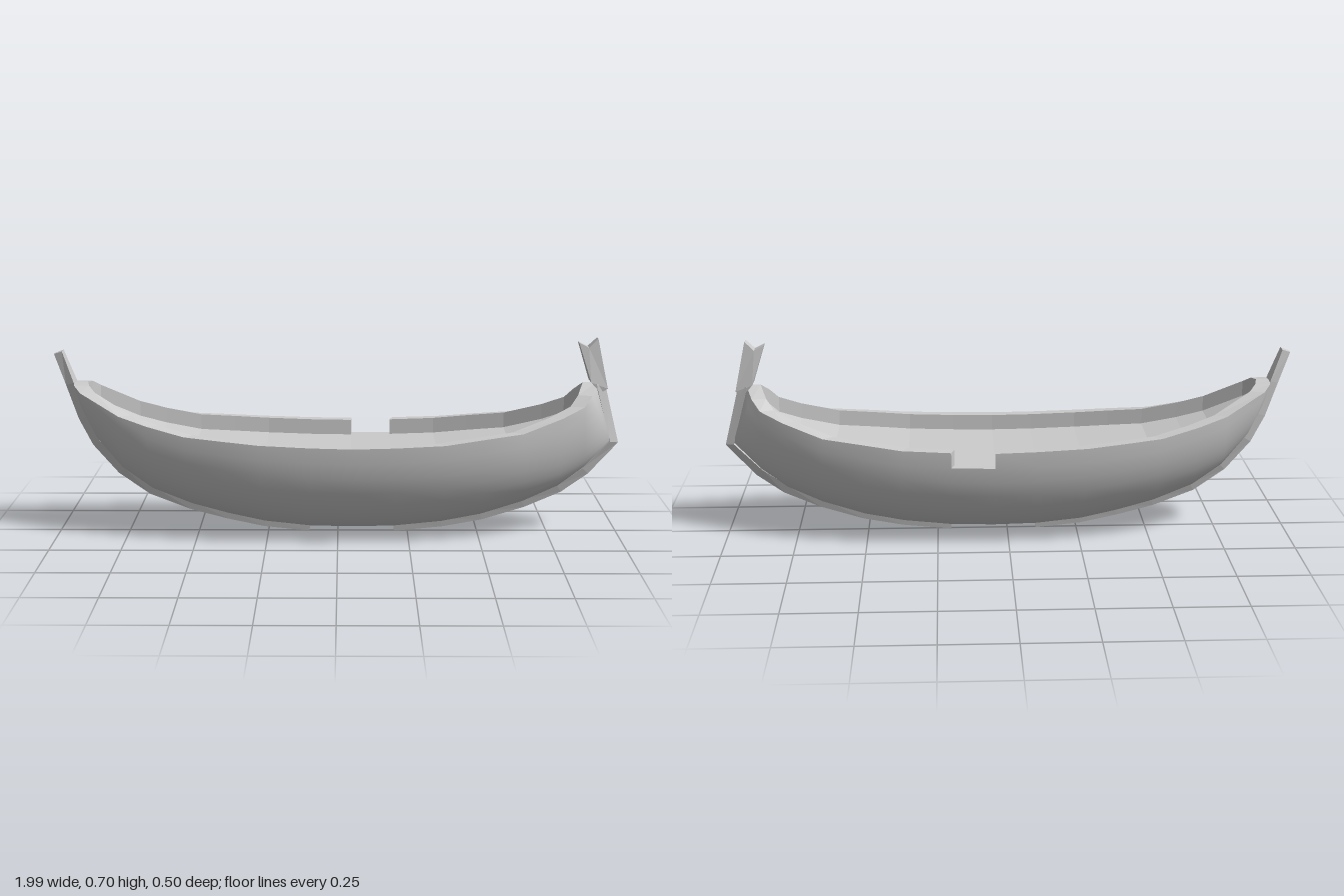
import * as THREE from 'three';

// Keel profile [x, y], stern to bow
const KEEL = [
  [-0.935, 0.545], [-0.895, 0.425], [-0.85, 0.335], [-0.765, 0.235], [-0.66, 0.16], [-0.52, 0.105],
  [-0.39, 0.07], [-0.26, 0.042], [-0.1, 0.025], [0.05, 0.022], [0.2, 0.025], [0.37, 0.042],
  [0.51, 0.068], [0.66, 0.115], [0.785, 0.17], [0.875, 0.235], [0.97, 0.335], [0.915, 0.545],
];
// Sheer line [x, y, half width], one entry for each keel point
const SHEER = [
  [-0.935, 0.545, 0], [-0.925, 0.54, 0.05], [-0.9, 0.52, 0.083], [-0.76, 0.45, 0.145],
  [-0.66, 0.42, 0.17], [-0.53, 0.39, 0.2], [-0.4, 0.38, 0.222], [-0.27, 0.37, 0.24],
  [-0.1, 0.363, 0.247], [0.05, 0.36, 0.252], [0.2, 0.363, 0.248], [0.37, 0.37, 0.24],
  [0.5, 0.385, 0.217], [0.64, 0.4, 0.19], [0.78, 0.442, 0.135], [0.86, 0.475, 0.1],
  [0.89, 0.51, 0.07], [0.915, 0.545, 0],
];
const NOTCH = 9;      // segment of the far rail that is cut away
const DEPTH = 0.055;  // deck level below the rail
const INSET = [0.945, 0.85];
const T1 = 0.163;     // section angle at deck level

const mat = (flat, double) => new THREE.MeshStandardMaterial({
  color: 0xcccccc, flatShading: flat, side: double ? THREE.DoubleSide : THREE.FrontSide,
});

// Surface through rows of points, with optional skipped cells and end caps
function loft(name, rows, { flat = false, closed = false, caps = false, double = false, skip = () => false } = {}) {
  const n = rows[0].length, idx = [];
  for (let i = 0; i < rows.length - 1; i++) {
    for (let j = 0; j < (closed ? n : n - 1); j++) {
      if (skip(i, j)) continue;
      const k = (j + 1) % n;
      const a = i * n + j, b = i * n + k, c = (i + 1) * n + k, d = (i + 1) * n + j;
      idx.push(a, b, c, a, c, d);
    }
  }
  if (caps) {
    const e = (rows.length - 1) * n;
    for (let j = 1; j < n - 1; j++) idx.push(0, j + 1, j, e, e + j, e + j + 1);
  }
  let geo = new THREE.BufferGeometry();
  geo.setAttribute('position', new THREE.Float32BufferAttribute(rows.flat(2), 3));
  geo.setIndex(idx);
  if (flat) geo = geo.toNonIndexed();
  geo.computeVertexNormals();
  const mesh = new THREE.Mesh(geo, mat(flat, double));
  mesh.name = name;
  return mesh;
}

// Point on the hull skin: angle 0 is the left rail, PI the right rail
function skin(i, t) {
  const [sx, sy, w] = SHEER[i], [kx, ky] = KEEL[i], s = Math.sin(t);
  return [sx + (kx - sx) * s, sy - (sy - ky) * s, w * Math.cos(t)];
}

// Tapered strip standing proud of the profile
function keelStrip(name, path) {
  const rows = path.map(([x, y], i) => {
    const p = path[Math.max(i - 1, 0)], q = path[Math.min(i + 1, path.length - 1)];
    const len = Math.hypot(q[0] - p[0], q[1] - p[1]);
    const nx = (q[1] - p[1]) / len, ny = -(q[0] - p[0]) / len;
    const wi = y > 0.6 ? 0.02 : 0.014 + 0.019 * Math.min(1, y / 0.3);
    const wo = wi * 0.6;
    const inner = [x - nx * 0.006, y - ny * 0.006], outer = [x + nx * 0.025, y + ny * 0.025];
    return [[...inner, wi], [...outer, wo], [...outer, -wo], [...inner, -wi]];
  });
  return loft(name, rows, { flat: true, closed: true, caps: true });
}

export function createModel() {
  const boat = new THREE.Group();
  boat.name = 'boat';

  // Hull skin
  const half = [0, T1];
  for (let k = 1; k <= 8; k++) half.push(T1 + (Math.PI / 2 - T1) * k / 8);
  const angles = [...half, ...half.slice(0, -1).reverse().map((t) => Math.PI - t)];
  const last = angles.length - 2;
  boat.add(loft('hull', SHEER.map((_, i) => angles.map((t) => skin(i, t))), {
    skip: (i, j) => i === NOTCH && j === last,
  }));

  // Rail top, inner walls and deck, from right side to left side
  const upper = SHEER.map(([x, y, w]) => {
    const ix = x * INSET[0], iw = w * INSET[1], d = y - DEPTH;
    return [[x, y, -w], [ix, y, -iw], [ix, d, -iw], [ix, d, iw], [ix, y, iw], [x, y, w]];
  });
  boat.add(loft('railAndDeck', upper, { flat: true, skip: (i, j) => i === NOTCH && j < 2 }));

  // Boarding gap: sill and the two cut ends of the rail
  const gap = new THREE.Group();
  gap.name = 'boardingGap';
  const ends = [NOTCH, NOTCH + 1].map((i) => ({ rail: upper[i], low: skin(i, Math.PI - T1) }));
  gap.add(loft('sill', ends.map((e) => [e.low, e.rail[2]]), { flat: true, double: true }));
  for (const e of ends) {
    gap.add(loft('railEnd', [[e.rail[0], e.low], [e.rail[1], e.rail[2]]], { flat: true, double: true }));
  }
  boat.add(gap);

  // Stern strip runs up into the stern post; bow strip ends under the bow post
  boat.add(keelStrip('sternKeelAndPost', [[-0.975, 0.655], ...KEEL.slice(0, 9)]));
  boat.add(keelStrip('bowKeel', KEEL.slice(10)));

  // Bow post with a notched head, thinner towards the top and the front
  const outline = [[0.89, 0.55], [0.925, 0.512], [0.95, 0.527], [0.912, 0.703], [0.88, 0.672], [0.845, 0.69]];
  const shape = new THREE.Shape(outline.map(([x, y]) => new THREE.Vector2(x, y)));
  const geo = new THREE.ExtrudeGeometry(shape, { depth: 2, bevelEnabled: false });
  geo.translate(0, 0, -1);
  const pos = geo.attributes.position;
  for (let i = 0; i < pos.count; i++) {
    const y = pos.getY(i), front = pos.getX(i) > 0.9 && y < 0.6 ? 0.8 : 1;
    pos.setZ(i, pos.getZ(i) * front * (0.033 - 0.11 * Math.max(0, y - 0.56)));
  }
  geo.computeVertexNormals();
  const post = new THREE.Mesh(geo, mat(true));
  post.name = 'bowPost';
  boat.add(post);

  return boat;
}
